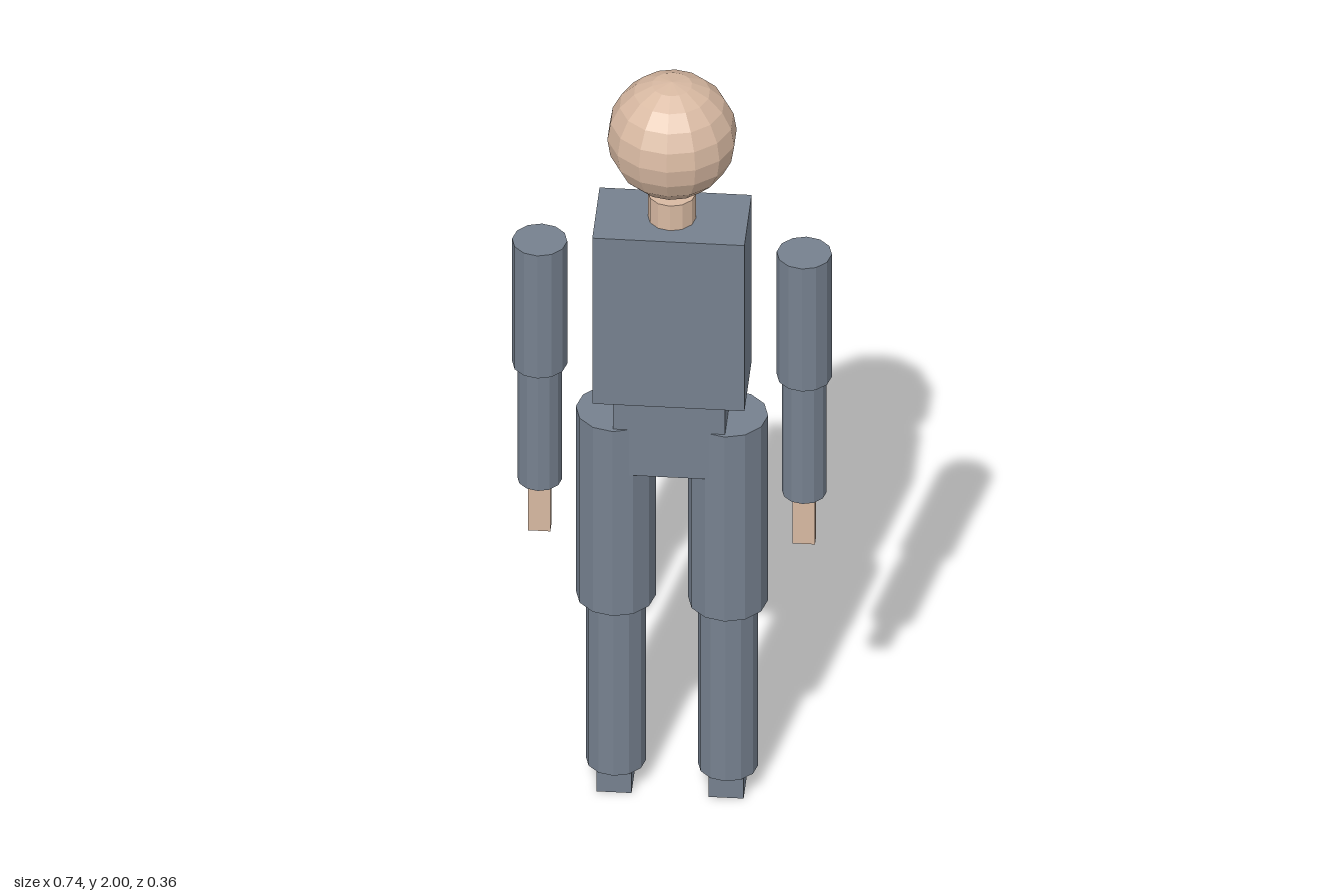
import * as THREE from 'three';

const Z = 0.028; // depth of the body's centre line

export function createModel() {
  const model = new THREE.Group();
  model.name = 'figure';
  const slate = new THREE.MeshStandardMaterial({ color: 0x76818f, flatShading: true });
  slate.name = 'slate clothing';
  const skin = new THREE.MeshStandardMaterial({ color: 0xd8b9a2, flatShading: true });
  skin.name = 'skin';

  const add = (name, geometry, material, x, y, z = Z) => {
    const mesh = new THREE.Mesh(geometry, material);
    mesh.name = name;
    mesh.position.set(x, y, z);
    model.add(mesh);
    return mesh;
  };
  // Box and upright twelve-sided cylinder, both given by bottom and top height
  const box = (name, material, x, y0, y1, width, depth, z) =>
    add(name, new THREE.BoxGeometry(width, y1 - y0, depth), material, x, (y0 + y1) / 2, z);
  const limb = (name, material, x, y0, y1, radius) =>
    add(name, new THREE.CylinderGeometry(radius, radius, y1 - y0, 12), material, x, (y0 + y1) / 2);

  // Head, neck and trunk
  const head = add('head', new THREE.SphereGeometry(0.151, 14, 10), skin, 0, 1.849);
  head.rotation.y = Math.PI / 2;
  limb('neck', skin, 0, 1.615, 1.685, 0.056);
  box('chest', slate, 0, 1.142, 1.615, 0.353, 0.2);
  box('pelvis', slate, 0, 0.93, 1.142, 0.26, 0.166);

  // Arms and legs, mirrored
  for (const [side, s] of [['left', 1], ['right', -1]]) {
    limb(side + 'UpperArm', slate, s * 0.307, 1.18, 1.53, 0.064);
    limb(side + 'Forearm', slate, s * 0.307, 0.85, 1.18, 0.052);
    box(side + 'Hand', skin, s * 0.307, 0.71, 0.85, 0.052, 0.032);
    limb(side + 'Thigh', slate, s * 0.13, 0.533, 1.06, 0.093);
    limb(side + 'Shin', slate, s * 0.13, 0.06, 0.533, 0.07);
    // The feet reach out towards -z
    box(side + 'Foot', slate, s * 0.13, 0, 0.06, 0.081, 0.264, -0.052);
  }
  return model;
}
